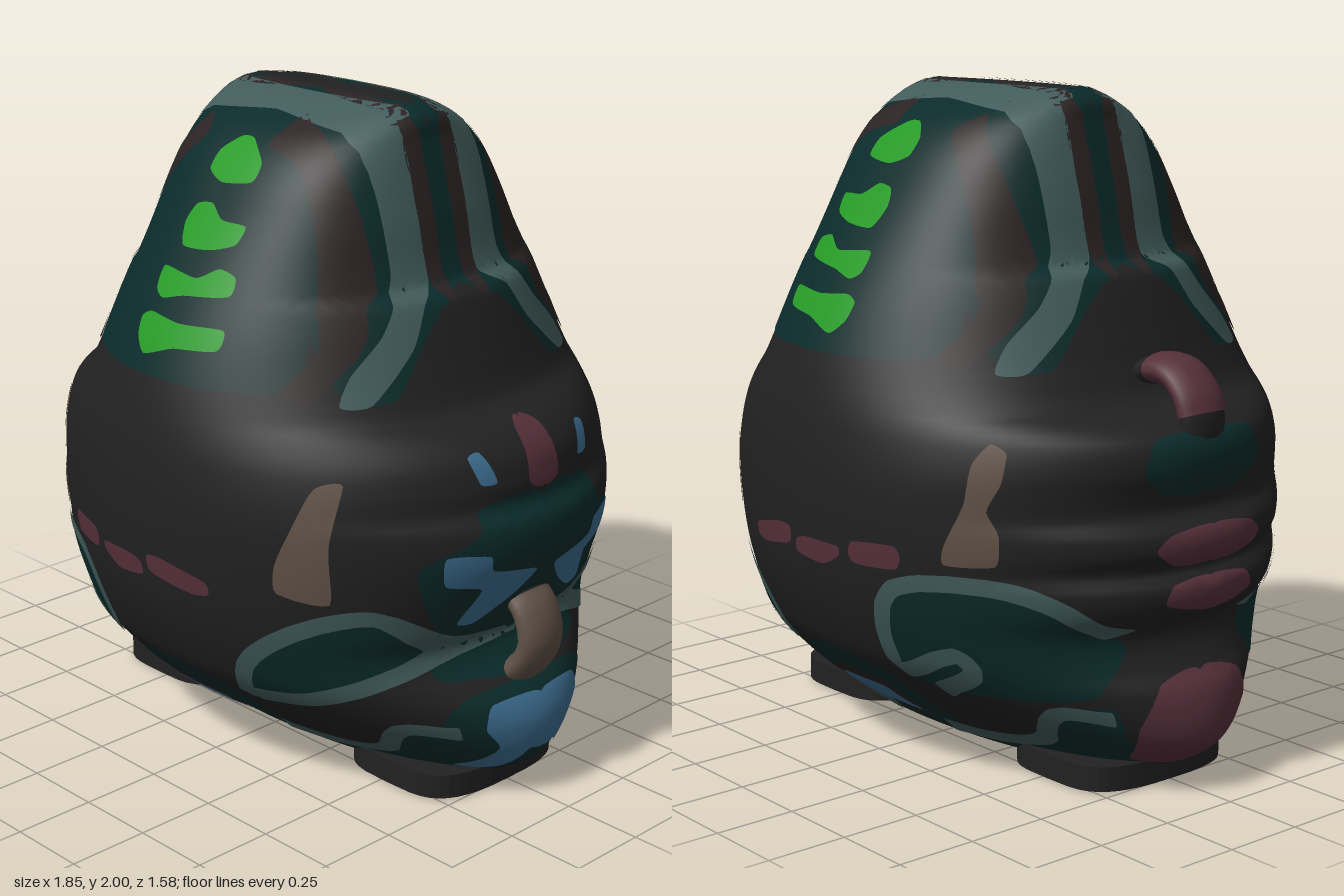
import * as THREE from 'three';
import { mergeGeometries } from 'three/addons/utils/BufferGeometryUtils.js';

const mat = (name, color) => new THREE.MeshStandardMaterial({ name, color });

// Smooth lookup in a list of [y, value] pairs
function lookup(table, y) {
  const n = table.length - 1;
  let i = 0;
  while (i < n - 1 && y > table[i + 1][0]) i++;
  const slope = k => {
    const a = table[Math.max(k - 1, 0)], b = table[Math.min(k + 1, n)];
    return (b[1] - a[1]) / (b[0] - a[0]);
  };
  const [y0, v0] = table[i], [y1, v1] = table[i + 1], h = y1 - y0;
  const t = THREE.MathUtils.clamp((y - y0) / h, 0, 1), s = 1 - t;
  return v0 * (1 + 2 * t) * s * s + slope(i) * h * t * s * s + v1 * t * t * (3 - 2 * t) - slope(i + 1) * h * t * t * s;
}

// Body depth, its smooth core width, and the bumpy rim on each side
const depth = [[.05, .3], [.1, .35], [.2, .5], [.3, .61], [.4, .69], [.6, .765], [.85, .79], [1.05, .775], [1.2, .74],
  [1.35, .68], [1.5, .6], [1.7, .48], [1.82, .4], [1.9, .32], [1.95, .23], [1.98, .15], [1.995, .08], [2, 0]];
const core = [[.05, .76], [.2, .84], [.5, .86], [.9, .87], [1.05, .82], [1.2, .7], [1.4, .58], [1.6, .48], [1.9, .395], [2, .32]];
const upper = [[1.22, .66], [1.3, .63], [1.45, .575], [1.48, .555], [1.51, .5], [1.7, .45], [1.9, .395], [1.96, .38], [2, .32]];
const rimPlus = [[.05, .76], [.1, .84], [.15, .88], [.25, .9], [.32, .88], [.38, .83], [.44, .77], [.5, .745], [.56, .79], [.62, .82],
  [.7, .86], [.8, .9], [.89, .9], [.94, .86], [1, .86], [1.08, .84], [1.14, .78], [1.18, .69], ...upper];
const rimMinus = [[.05, .76], [.1, .84], [.15, .9], [.22, .92], [.32, .9], [.38, .85], [.45, .82], [.5, .83], [.56, .9],
  [.63, .92], [.68, .88], [.73, .92], [.79, .92], [.84, .87], [.9, .88], [.97, .91], [1.05, .9], [1.09, .84], [1.13, .72], ...upper];
const power = y => 2 + .6 * THREE.MathUtils.smoothstep(y, 1.2, 1.9);
const widthAt = (u, y) => THREE.MathUtils.lerp(lookup(core, y), lookup(u < 0 ? rimMinus : rimPlus, y), u ** 4);

// Body surface by angle around the y axis and height
function surface(a, y) {
  const e = 2 / power(y), s = Math.sin(a), c = Math.cos(a), u = Math.sign(s) * Math.abs(s) ** e;
  return new THREE.Vector3(widthAt(u, y) * u, y, Math.max(lookup(depth, y), 0) * Math.sign(c) * Math.abs(c) ** e);
}
function normal(a, y) {
  const h = .004, yc = THREE.MathUtils.clamp(y, .055, 1.995);
  const da = surface(a + h, yc).sub(surface(a - h, yc));
  const dy = surface(a, yc + h).sub(surface(a, yc - h));
  return y > 1.999 ? new THREE.Vector3(0, 1, 0) : da.cross(dy).normalize();
}
function geometry(pos, nor, index) {
  const g = new THREE.BufferGeometry();
  g.setAttribute('position', new THREE.Float32BufferAttribute(pos, 3));
  g.setAttribute('normal', new THREE.Float32BufferAttribute(nor, 3));
  if (index) g.setIndex(index);
  return g;
}

function bodyGeometry(rows = 130, segs = 128) {
  const pos = [], nor = [], index = [];
  for (let r = 0; r <= rows; r++) {
    const y = .05 + 1.95 * (1 - (1 - r / rows) ** 1.5);
    for (let s = 0; s <= segs; s++) {
      const a = s / segs * Math.PI * 2;
      pos.push(...surface(a, y).toArray());
      nor.push(...normal(a, y).toArray());
      const k = r * (segs + 1) + s, up = k + segs + 1;
      if (r < rows && s < segs) index.push(k, k + 1, up + 1, k, up + 1, up);
    }
  }
  return geometry(pos, nor, index);
}

// Ways to place a pattern point: by x, by share of the width, by z on one flank
const HALF = Math.PI / 2;
const byShare = (u, y) => Math.sign(u) * Math.asin(Math.min(Math.abs(u), 1) ** (power(y) / 2));
const byX = (x, y) => {
  let u = x;
  for (let i = 0; i < 14; i++) u = THREE.MathUtils.clamp(x / widthAt(u, y), -1, 1);
  return byShare(u, y);
};
const flank = side => (z, y) =>
  side * Math.acos(THREE.MathUtils.clamp(Math.max(z, 0) / lookup(depth, y), 0, 1) ** (power(y) / 2));

// Thin painted patch laid on the body, front and back alike
function patchGeometry(points, place, layer) {
  const curve = new THREE.CatmullRomCurve3(points.map(p => new THREE.Vector3(p[0], p[1], 0)), true, 'catmullrom', .3);
  const outline = curve.getPoints(points.length * 5).slice(0, -1).map(p => {
    const y = THREE.MathUtils.clamp(p.y, .051, 1.997);
    return new THREE.Vector2(THREE.MathUtils.clamp(place(p.x, y), -HALF, HALF), y);
  });
  if (THREE.ShapeUtils.isClockWise(outline)) outline.reverse();
  const faces = THREE.ShapeUtils.triangulateShape(outline, []);
  const pos = [], nor = [], lift = .003 + layer * .0025;
  const emit = (p, back) => {
    const a = back ? Math.PI - p.x : p.x, n = normal(a, p.y);
    pos.push(...surface(a, p.y).addScaledVector(n, lift).toArray());
    nor.push(...n.toArray());
  };
  const split = (a, b, c, level) => {
    const [A, B, C] = [a, b, c].map(p => surface(p.x, p.y));
    const ab = A.distanceTo(B), bc = B.distanceTo(C), ca = C.distanceTo(A), most = Math.max(ab, bc, ca);
    if (most < .046 || level > 12) {
      [a, b, c].forEach(p => emit(p, false));
      [a, c, b].forEach(p => emit(p, true));
    } else if (most === bc) split(b, c, a, level);
    else if (most === ca) split(c, a, b, level);
    else {
      const m = a.clone().lerp(b, .5);
      split(a, m, c, level + 1);
      split(m, b, c, level + 1);
    }
  };
  faces.forEach(f => split(outline[f[0]], outline[f[1]], outline[f[2]], 0));
  return geometry(pos, nor);
}

// Outline of a line of even width
function stroke(points, w) {
  const curve = new THREE.CatmullRomCurve3(points.map(p => new THREE.Vector3(p[0], p[1], 0)));
  const left = [], right = [];
  for (let i = 0, n = points.length * 3; i <= n; i++) {
    const p = curve.getPoint(i / n), t = curve.getTangent(i / n);
    left.push([p.x - t.y * w / 2, p.y + t.x * w / 2]);
    right.unshift([p.x + t.y * w / 2, p.y - t.x * w / 2]);
  }
  return [...left, ...right];
}
const mirror = pts => pts.map(([x, y]) => [-x, y]);

export function createModel() {
  const model = new THREE.Group();
  const dark = mat('charcoal', 0x212121), teal = mat('deep teal', 0x0b2b2b), pale = mat('pale teal', 0x425c5b);
  const green = mat('green', 0x259a25), brown = mat('dark brown', 0x2b2323), tan = mat('tan', 0x605146);
  const wine = mat('wine', 0x56303b), blue = mat('blue', 0x3c6d90);
  const add = (name, geo, material) => {
    const m = new THREE.Mesh(geo, material);
    m.name = name;
    model.add(m);
  };
  const paint = (name, material, layer, place, ...outlines) =>
    add(name, mergeGeometries(outlines.map(o => patchGeometry(o, place, layer))), material);

  // Body with its flat underside
  add('body', bodyGeometry(), dark);
  const rim = Array.from({ length: 64 }, (_, i) => surface(i / 64 * Math.PI * 2, .05)).map(p => new THREE.Vector2(p.x, p.z));
  add('underside', new THREE.ShapeGeometry(new THREE.Shape(rim)).rotateX(HALF).translate(0, .05, 0), dark);
  for (const x of [-.2, 0, .2]) for (const z of [-.17, .17])
    add('undersideDash', new THREE.BoxGeometry(.13, .006, .06).translate(x, .048, z), wine);

  // Head panel, trim and spots
  const headHalf = [[0, 1.26], [.62, 1.27], [.7, 1.4], [.78, 1.25], [.9, 1.24], [1, 1.5], [1, 1.8], [1, 1.99], [.5, 1.997]];
  paint('headPanel', teal, 0, byShare, [...headHalf, ...mirror(headHalf.slice(1)).reverse()]);
  paint('headTopTrim', pale, 1, byShare, [[-.92, 1.955], [-.92, 1.99], [0, 1.993], [.92, 1.99], [.92, 1.955], [0, 1.955]]);
  for (const side of [-1, 1]) {
    paint('headSideTrim', pale, 1, flank(side), [[.1, 1.985], [.1, 1.75], [.1, 1.52], [.17, 1.47], [.24, 1.36], [.39, 1.23],
      [.47, 1.23], [.42, 1.31], [.32, 1.4], [.26, 1.48], [.22, 1.56], [.22, 1.75], [.22, 1.955]]);
    paint('headEdge', brown, 1, flank(side), [[.04, 1.99], [.04, 1.5], [.095, 1.5], [.095, 1.98]]);
  }
  paint('browLines', brown, 1, byX, stroke([[-.2, 1.9], [-.32, 1.75], [-.42, 1.52], [-.47, 1.38], [-.42, 1.25]], .075),
    stroke([[.1, 1.92], [.25, 1.87], [.34, 1.75], [.42, 1.52], [.47, 1.38], [.42, 1.25]], .075));
  paint('spots', green, 2, byX,
    [[-.07, 1.85], [-.02, 1.89], [.03, 1.89], [.11, 1.84], [.11, 1.79], [0, 1.775], [-.07, 1.8]],
    [[-.08, 1.66], [-.06, 1.71], [0, 1.72], [.06, 1.685], [.15, 1.68], [.14, 1.63], [.06, 1.605], [-.05, 1.6]],
    [[-.09, 1.48], [-.09, 1.54], [.05, 1.53], [.12, 1.565], [.18, 1.55], [.18, 1.5], [.03, 1.48], [-.05, 1.46]],
    [[-.11, 1.4], [-.07, 1.42], [.05, 1.41], [.2, 1.415], [.2, 1.36], [.06, 1.345], [-.05, 1.31], [-.1, 1.35]]);

  // Marks around the middle
  paint('tuskMarks', tan, 0, byX,
    [[-.63, 1.03], [-.59, 1.055], [-.56, 1], [-.55, .89], [-.5, .76], [-.5, .71], [-.62, .715], [-.63, .8], [-.6, .87], [-.63, .95]],
    [[.54, 1.03], [.6, 1.04], [.59, .86], [.585, .69], [.46, .715], [.46, .8], [.5, .91]]);
  paint('waistDashes', wine, 0, byX,
    [[-.38, .72], [-.36, .75], [-.23, .745], [-.21, .71], [-.23, .68], [-.36, .68]],
    [[-.17, .72], [-.04, .725], [.01, .71], [.01, .67], [-.1, .655], [-.17, .69]],
    [[.04, .74], [.1, .745], [.25, .71], [.26, .67], [.2, .66], [.05, .69]]);

  // Thigh and hem patterns
  const leaf = [[.27, .32], [.34, .47], [.55, .62], [.68, .64], [.73, .5], [.5, .36]];
  const blob = [[-.79, .42], [-.76, .56], [-.61, .66], [-.32, .62], [-.28, .35], [-.42, .3], [-.66, .3], [-.77, .32]];
  const hem = [[.8, .28], [.66, .25], [.54, .12], [.2, .08], [.45, .06], [.76, .08]];
  paint('thighPanels', teal, 0, byX, leaf, blob, hem, mirror(hem));
  const hemLine = stroke([[.79, .25], [.67, .26], [.56, .15], [.38, .1], [.13, .08]], .045);
  paint('thighLines', pale, 1, byX, stroke([...leaf, [.3, .33]], .05), hemLine, mirror(hemLine),
    stroke([[-.79, .5], [-.74, .59], [-.6, .65], [-.33, .61], [-.29, .36], [-.48, .43], [-.51, .38], [-.38, .3]], .05));

  // Belly badge
  paint('bellyPanel', teal, 0, byX, [[-.24, .15], [-.2, .32], [0, .37], [.2, .32], [.25, .15], [.1, .07], [-.1, .07]]);
  paint('badgeFrame', brown, 1, byX, [[-.14, .26], [0, .28], [.14, .26], [.14, .12], [0, .1], [-.13, .12]]);
  paint('badge', blue, 2, byX, [[-.11, .24], [0, .25], [.11, .24], [.11, .15], [.08, .13], [-.08, .13], [-.11, .15]]);

  // Flank on the +x side
  paint('flankPanels', teal, 0, flank(1),
    [[0, .95], [.22, .95], [.25, .88], [.4, .8], [.38, .7], [.3, .55], [.3, .42], [.2, .4], [0, .42]],
    [[0, .36], [.22, .36], [.29, .3], [.26, .15], [.15, .07], [0, .07]]);
  paint('flankBlue', blue, 2, flank(1),
    [[0, .33], [.17, .33], [.19, .26], [.14, .19], [.18, .1], [.1, .1], [.05, .17], [0, .17]],
    [[.04, .74], [.2, .77], [.22, .82], [.34, .83], [.33, .74], [.22, .71], [.26, .6], [.2, .59], [.1, .66]],
    [[.17, 1.02], [.2, 1.1], [.24, 1.09], [.22, 1.02]]);
  paint('flankWine', wine, 2, flank(1), [[0, 1.15], [.05, 1.13], [.06, 1], [0, .98]]);

  // Flank on the -x side
  paint('flankPanel', teal, 0, flank(-1), [[0, 1.06], [.18, 1.06], [.22, .97], [.15, .9], [0, .9]]);
  paint('flankWineMarks', wine, 2, flank(-1), [[0, .36], [.15, .34], [.2, .22], [.15, .1], [0, .1]],
    [[0, .8], [.15, .79], [.2, .75], [.12, .7], [0, .7]], [[0, .65], [.14, .64], [.16, .59], [0, .56]]);

  // Looped arms, each in a coloured middle and slightly thinner dark ends
  function arm(name, points, color) {
    const path = new THREE.CatmullRomCurve3(points.map(p => new THREE.Vector3(p[0], p[1], 0)));
    const piece = (from, to, radius) => {
      const part = new THREE.CatmullRomCurve3(Array.from({ length: 7 }, (_, i) => path.getPoint(from + (to - from) * i / 6)));
      return new THREE.TubeGeometry(part, 14, radius, 16).scale(1, 1, 1.9);
    };
    add(name, piece(.2, .78, .045), color);
    add(name + 'Ends', mergeGeometries([piece(0, .3, .042), piece(.68, 1, .042)]), dark);
  }
  arm('rightArm', [[-.86, 1.02], [-.855, 1.13], [-.79, 1.21], [-.71, 1.225], [-.6, 1.18]], wine);
  arm('leftArm', [[.74, .65], [.83, .61], [.87, .5], [.82, .4], [.72, .36]], tan);

  // Rounded feet with striped soles
  for (const side of [-1, 1]) {
    const x = side * .53;
    const outline = Array.from({ length: 40 }, (_, i) => {
      const a = i / 40 * Math.PI * 2, c = Math.cos(a), s = Math.sin(a);
      return new THREE.Vector2(.235 * Math.sign(c) * Math.sqrt(Math.abs(c)), .285 * Math.sign(s) * Math.abs(s) ** .7);
    });
    const foot = new THREE.ExtrudeGeometry(new THREE.Shape(outline), { depth: .075, bevelEnabled: false });
    add('foot', foot.rotateX(HALF).translate(x, .08, 0), dark);
    const stripes = side > 0 ? [wine, teal, wine] : [teal, pale, wine];
    stripes.forEach((m, i) => add('sole', new THREE.BoxGeometry(.08, .008, .32).translate(x + (i - 1) * .13, .004, 0), m));
  }
  return model;
}
